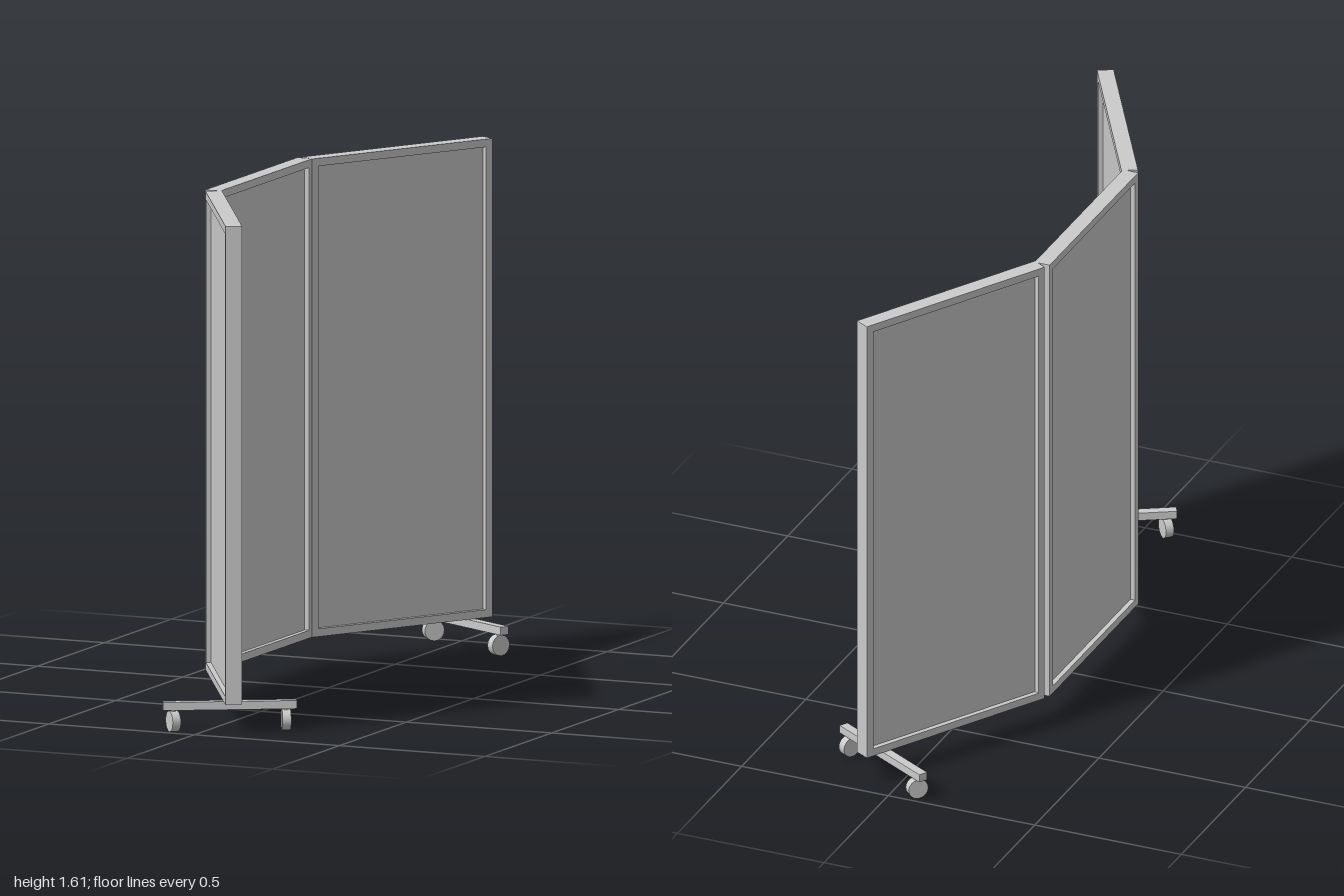
import * as THREE from 'three';

const material = new THREE.MeshStandardMaterial({ color: 0xcccccc });

const BOTTOM = 0.095, TOP = 1.61; // frame heights
const WIDTH = 0.69, DEPTH = 0.052, BORDER = 0.025;

function add(parent, name, geometry, x = 0, y = 0, z = 0) {
  const mesh = new THREE.Mesh(geometry, material);
  mesh.name = name;
  mesh.position.set(x, y, z);
  parent.add(mesh);
  return mesh;
}

function rectangle(target, x0, y0, x1, y1) {
  target.moveTo(x0, y0);
  target.lineTo(x1, y0);
  target.lineTo(x1, y1);
  target.lineTo(x0, y1);
  target.closePath();
  return target;
}

// One screen section: an open frame around a thin recessed board
function createSection(name) {
  const section = new THREE.Group();
  section.name = name;
  const w = WIDTH / 2;
  const outline = rectangle(new THREE.Shape(), -w, BOTTOM, w, TOP);
  outline.holes.push(rectangle(new THREE.Path(), -w + BORDER, BOTTOM + BORDER, w - BORDER, TOP - BORDER));
  const frame = new THREE.ExtrudeGeometry(outline, { depth: DEPTH, bevelEnabled: false });
  frame.translate(0, 0, -DEPTH / 2);
  add(section, 'frame', frame);
  add(section, 'board',
    new THREE.BoxGeometry(WIDTH - 2 * BORDER, TOP - BOTTOM - 2 * BORDER, 0.02),
    0, (TOP + BOTTOM) / 2, 0);
  return section;
}

// Caster with its axle along local x
function createCaster() {
  const caster = new THREE.Group();
  caster.name = 'caster';
  const wheel = new THREE.CylinderGeometry(0.033, 0.033, 0.027, 16);
  wheel.rotateZ(Math.PI / 2);
  add(caster, 'wheel', wheel, 0, 0.033, 0);
  add(caster, 'stem', new THREE.CylinderGeometry(0.008, 0.008, 0.02, 12), 0, 0.066, 0);
  return caster;
}

// Foot: a bar along local x with a caster near each end
function createFoot(name, side) {
  const foot = new THREE.Group();
  foot.name = name;
  add(foot, 'footBar', new THREE.BoxGeometry(0.42, 0.026, 0.03), 0, 0.082, 0);
  for (const end of [-1, 1]) {
    const caster = createCaster();
    caster.position.x = end * 0.177;
    if (end < 0) caster.rotation.y = side * THREE.MathUtils.degToRad(15);
    foot.add(caster);
  }
  return foot;
}

export function createModel() {
  const model = new THREE.Group();
  model.name = 'foldingScreen';

  const middle = createSection('middleSection');
  middle.position.x = -0.238;
  middle.rotation.y = Math.PI / 2;
  model.add(middle);

  // Angled wings and their feet, mirrored in z
  for (const side of [1, -1]) {
    const label = side > 0 ? 'front' : 'rear';
    const wing = createSection(label + 'Section');
    wing.position.set(-0.06, 0, side * 0.649);
    wing.rotation.y = -side * Math.PI / 3;
    model.add(wing);

    const foot = createFoot(label + 'Foot', side);
    foot.position.set(0.068, 0, side * 0.882);
    foot.rotation.y = side * Math.PI / 6;
    model.add(foot);
  }
  return model;
}
